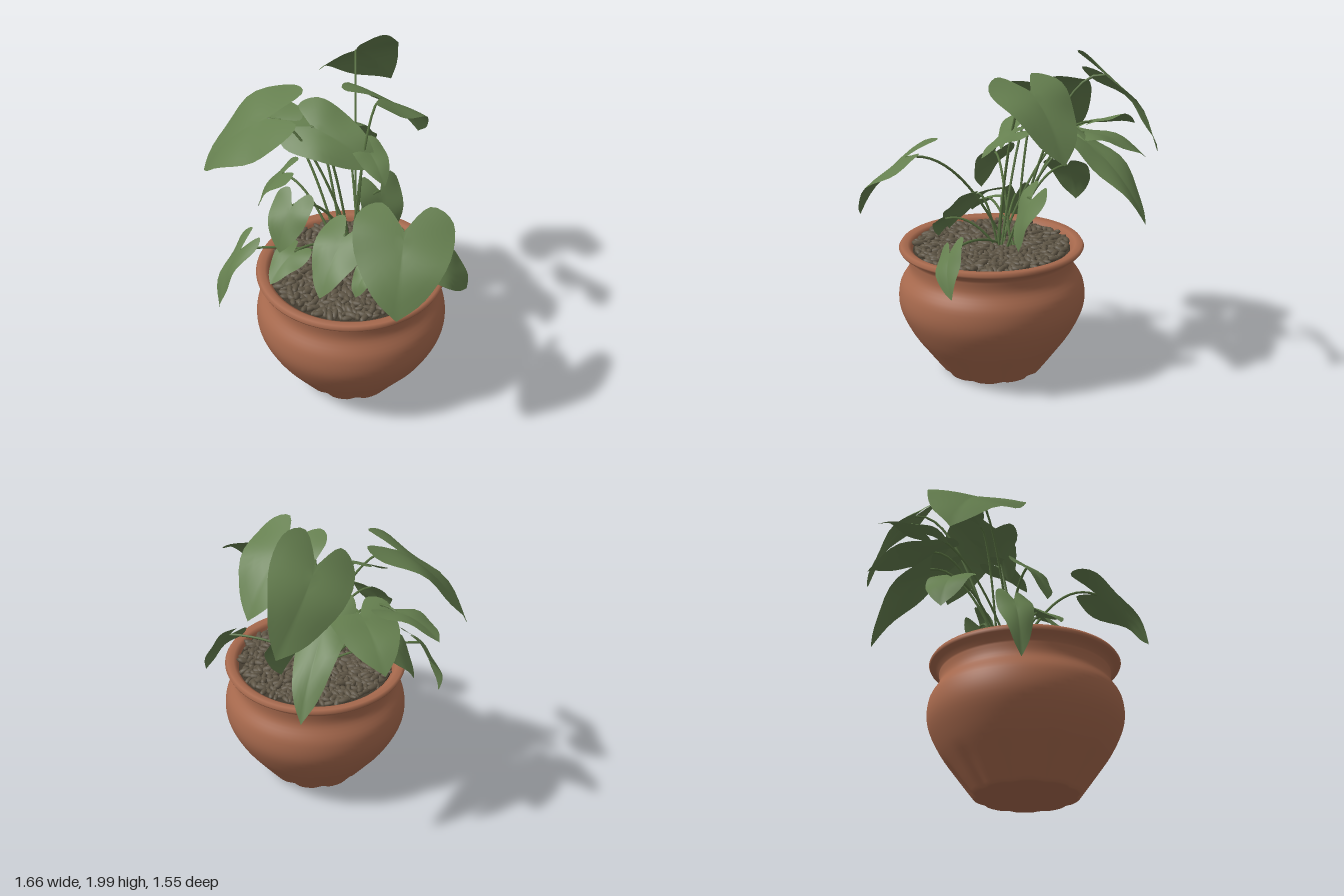
import * as THREE from 'three';
import { mergeGeometries, mergeVertices } from 'three/addons/utils/BufferGeometryUtils.js';

const mat = (name, color, side = THREE.FrontSide) => {
  const m = new THREE.MeshStandardMaterial({ color, side });
  m.name = name;
  return m;
};

// Small seeded random generator
function seeded(seed) {
  return () => {
    seed = (seed * 16807) % 2147483647;
    return seed / 2147483647;
  };
}

// Leaves: stem joint, tip, then optional roll about the midrib and width ratio
const TALL = [
  [-0.4, 1.66, 0.25, -0.8, 1.24, 0.35, 0.32],
  [0.57, 1.37, 0.45, 0.68, 1, 0.73, 0.1, 0.95],
  [-0.2, 1.84, -0.38, -0.17, 1.47, -0.77, 0.72, 0.72],
  [0.12, 1.76, -0.1, 0.2, 1.4, -0.42, 0, 0.8],
  [-0.34, 1.44, -0.12, -0.62, 1.27, -0.38],
  [-0.2, 1.43, -0.25, -0.25, 1, -0.65, 0, 0.4],
  [-0.52, 1.46, -0.04, -0.82, 1.41, -0.14, 0.35],
  [-0.2, 1.6, 0.12, 0.19, 1.41, 0.06, -0.5, 0.72],
  [0.1, 1.5, 0.02, 0.28, 1.36, 0.13, 0, 0.65],
];
const LOW = [
  [-0.43, 1.18, 0.08, -0.58, 0.92, 0.13],
  [-0.15, 1.26, 0.42, -0.16, 1.01, 0.55],
  [0.13, 1.08, 0.32, 0.11, 0.8, 0.57, 0, 0.7],
  [0.12, 1.13, -0.11, 0.19, 0.82, -0.07, 0, 0.75],
  [-0.45, 0.9, 0.52, -0.55, 0.5, 0.63, 0, 0.38],
  [0.62, 0.9, 0.06, 0.73, 0.68, -0.06, -0.94, 0.7],
  [-0.12, 0.97, 0.46, -0.17, 0.84, 0.64],
  [0.31, 0.95, 0.4, 0.29, 0.82, 0.48],
];

// Heart outline: half a curve, mirrored; x across the blade, y from joint to tip
function heartOutline() {
  const half = [[0, 0], [0.28, -0.3], [0.57, -0.14], [0.56, 0.28], [0.31, 0.74], [0, 1]];
  const right = new THREE.SplineCurve(half.map(([s, t]) => new THREE.Vector2(s, t))).getPoints(20);
  const left = right.slice(1, -1).reverse().map((p) => new THREE.Vector2(-p.x, p.y));
  return [...right, ...left];
}

// Blade filled with rings around a point on the midrib, arched and gently waved
function leafGeometry(base, tip, roll, width, phase) {
  const outline = heartOutline(), N = outline.length, rings = 5;
  const T = tip.clone().sub(base), len = T.length();
  const side = new THREE.Vector3(-T.z, 0, T.x).normalize();
  side.applyAxisAngle(T.clone().normalize(), -roll);
  const n = side.clone().cross(T).normalize();
  side.multiplyScalar(len * width);
  const pos = [], idx = [];
  const put = (s, t) => {
    const arch = 0.35 * t * (1 - t);
    const wave = 0.07 * s * Math.sin(7 * t + phase) + 0.08 * Math.abs(s) - 0.2 * s * s;
    const p = base.clone().addScaledVector(T, t).addScaledVector(side, s)
      .addScaledVector(n, (arch + wave) * len);
    pos.push(p.x, p.y, p.z);
  };
  const hub = 0.12;
  put(0, hub);
  for (let r = 1; r <= rings; r++) {
    for (const o of outline) put(o.x * r / rings, hub + (o.y - hub) * r / rings);
  }
  for (let i = 0; i < N; i++) {
    const j = (i + 1) % N;
    idx.push(0, 1 + i, 1 + j);
    for (let r = 0; r < rings - 1; r++) {
      const a = 1 + r * N, b = a + N;
      idx.push(a + i, b + i, b + j, a + i, b + j, a + j);
    }
  }
  const g = new THREE.BufferGeometry();
  g.setAttribute('position', new THREE.Float32BufferAttribute(pos, 3));
  g.setIndex(idx);
  g.computeVertexNormals();
  return g;
}

// Arching stem from the crown to the leaf joint
function stemGeometry(base, angle) {
  const root = new THREE.Vector3(0.06 + 0.05 * Math.cos(angle), 0.76, 0.14 + 0.06 * Math.sin(angle));
  const ctrl = root.clone().lerp(base, 0.5).setY(base.y + 0.04);
  return new THREE.TubeGeometry(new THREE.QuadraticBezierCurve3(root, ctrl, base), 18, 0.0075, 6);
}

// Turned pot: splined belly, rolled rim, shallow flutes pinched in near the foot
function potGeometry() {
  const points = (list) => list.map(([r, y]) => new THREE.Vector2(r, y));
  const belly = new THREE.SplineCurve(points([[0.302, 0.006], [0.39, 0.125], [0.49, 0.27],
    [0.555, 0.42], [0.55, 0.55], [0.495, 0.65], [0.494, 0.73]])).getPoints(28);
  const rim = points([[0.515, 0.755], [0.545, 0.766], [0.552, 0.78], [0.54, 0.8],
    [0.5, 0.795], [0.478, 0.78], [0.465, 0.72]]);
  let g = new THREE.LatheGeometry([...points([[0, 0], [0.29, 0]]), ...belly, ...rim], 100);
  g.deleteAttribute('uv');
  g.deleteAttribute('normal');
  g = mergeVertices(g, 1e-4);
  const p = g.attributes.position;
  for (let i = 0; i < p.count; i++) {
    const x = p.getX(i), y = p.getY(i), z = p.getZ(i);
    const fade = Math.max(0, 1 - y / 0.22);
    const flute = (0.5 + 0.5 * Math.cos(10 * Math.atan2(x, z))) ** 3;
    const k = 1 - 0.055 * fade * flute;
    p.setXYZ(i, x * k, y, z * k);
  }
  g.computeVertexNormals();
  return g;
}

// Bed of elongated pebbles laid out in a sunflower spiral
function pebbleGeometry() {
  const rnd = seeded(71), parts = [], count = 560;
  for (let i = 0; i < count; i++) {
    const r = 0.455 * Math.sqrt((i + 0.5) / count), a = i * 2.4;
    const s = 0.85 + 0.4 * rnd();
    const g = new THREE.SphereGeometry(0.0155 * s, 8, 6);
    g.scale(2.3, 1, 1.1);
    g.rotateZ((rnd() - 0.5) * 0.7);
    g.rotateY(rnd() * Math.PI * 2);
    g.translate(r * Math.cos(a), 0.768 + 0.018 * rnd(), r * Math.sin(a));
    parts.push(g);
  }
  return mergeGeometries(parts);
}

export function createModel() {
  const model = new THREE.Group();
  const terracotta = mat('terracotta', 0xa7694d);
  const stone = mat('brown pebble', 0x5d5444);
  const soil = mat('dark soil', 0x423b2f);
  const leafGreen = mat('leaf green', 0x657f4f, THREE.DoubleSide);
  const stemGreen = mat('stem green', 0x5a7443);

  const group = (name) => {
    const g = new THREE.Group();
    g.name = name;
    model.add(g);
    return g;
  };
  const add = (name, geometry, material, parent) => {
    const mesh = new THREE.Mesh(geometry, material);
    mesh.name = name;
    parent.add(mesh);
  };

  // Pot, soil and pebbles share one axis
  const planter = group('planter');
  planter.position.set(0.11, 0, 0.215);
  add('pot', potGeometry(), terracotta, planter);
  add('soil', new THREE.CylinderGeometry(0.468, 0.468, 0.05, 64).translate(0, 0.742, 0), soil, planter);
  add('pebbles', pebbleGeometry(), stone, planter);

  // Foliage
  const plant = group('plant');
  [...TALL, ...LOW].forEach(([bx, by, bz, tx, ty, tz, roll = 0, width = 0.78], i) => {
    const base = new THREE.Vector3(bx, by, bz), tip = new THREE.Vector3(tx, ty, tz);
    add('stem', stemGeometry(base, i * 2.4), stemGreen, plant);
    add('leaf', leafGeometry(base, tip, roll, width, i * 1.7), leafGreen, plant);
  });
  return model;
}
